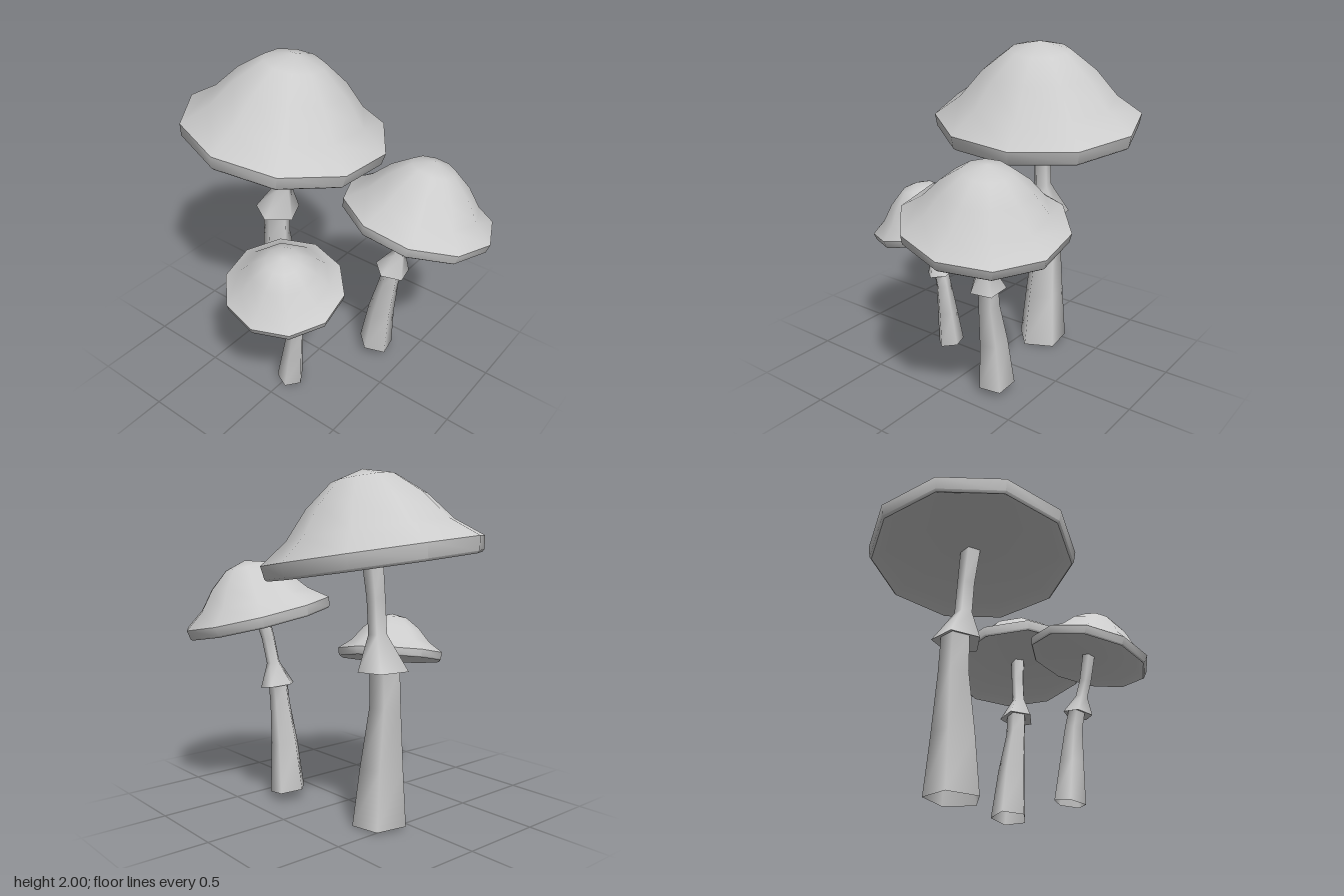
import * as THREE from 'three';
import { toCreasedNormals } from 'three/addons/utils/BufferGeometryUtils.js';

const SIDES = 5;

// Cap section for a rim radius of 1, from the underside centre out to the rim and up to the apex
const CAP_PROFILE = [
  [0, -0.03], [0.84, -0.05], [0.96, -0.14], [0.98, -0.12], [1, 0],
  [0.75, 0.18], [0.54, 0.43], [0.29, 0.63], [0, 0.71],
].map(([r, h]) => new THREE.Vector2(r, h));

// Stem rows: x, y, z, radius; the flared skirt is the fifth row
const MUSHROOMS = [
  {
    name: 'tallMushroom', turn: 0, radius: 0.63,
    cap: [-0.34, 1.56, -0.11], up: [0.12, 1, -0.08],
    stem: [
      [-0.42, 0.01, -0.125, 0.16], [-0.432, 0.35, -0.122, 0.128], [-0.455, 0.7, -0.12, 0.092],
      [-0.45, 0.92, -0.12, 0.088], [-0.44, 0.9, -0.12, 0.148], [-0.39, 1.1, -0.12, 0.055],
      [-0.375, 1.3, -0.12, 0.055], [-0.335, 1.58, -0.12, 0.066],
    ],
  },
  {
    name: 'middleMushroom', turn: -12, radius: 0.463,
    cap: [0.49, 1.165, -0.33], up: [0.15, 1, -0.17],
    stem: [
      [0.285, 0.055, -0.255, 0.112], [0.315, 0.35, -0.255, 0.087], [0.36, 0.6, -0.255, 0.064],
      [0.372, 0.725, -0.26, 0.062], [0.375, 0.71, -0.26, 0.109], [0.41, 0.85, -0.27, 0.042],
      [0.43, 1.0, -0.29, 0.042], [0.475, 1.19, -0.32, 0.048],
    ],
  },
  {
    name: 'smallMushroom', turn: 8, radius: 0.35,
    cap: [0.09, 0.885, 0.435], up: [0.15, 1, 0.2],
    stem: [
      [0.015, 0.015, 0.32, 0.087], [0.045, 0.25, 0.322, 0.067], [0.072, 0.45, 0.325, 0.05],
      [0.075, 0.54, 0.345, 0.048], [0.072, 0.525, 0.354, 0.084], [0.085, 0.63, 0.375, 0.034],
      [0.09, 0.72, 0.4, 0.034], [0.095, 0.9, 0.43, 0.036],
    ],
  },
];

// Open pentagonal tube through leaning rings
function stemGeometry(rows, turn) {
  const first = rows[0], last = rows[rows.length - 1];
  const rise = last[1] - first[1];
  const leanX = (last[0] - first[0]) / rise, leanZ = (last[2] - first[2]) / rise;
  const positions = [], index = [];
  rows.forEach(([x, y, z, r], i) => {
    for (let j = 0; j < SIDES; j++) {
      const a = THREE.MathUtils.degToRad(12 - turn) + (j / SIDES) * Math.PI * 2;
      const dx = r * Math.cos(a), dz = r * Math.sin(a);
      positions.push(x + dx, Math.max(0, y - leanX * dx - leanZ * dz), z + dz);
      if (i < rows.length - 1) {
        const p = i * SIDES + j, q = i * SIDES + (j + 1) % SIDES;
        index.push(p, p + SIDES, q, q, p + SIDES, q + SIDES);
      }
    }
  });
  const geometry = new THREE.BufferGeometry();
  geometry.setAttribute('position', new THREE.Float32BufferAttribute(positions, 3));
  geometry.setIndex(index);
  return toCreasedNormals(geometry, 1.4);
}

export function createModel() {
  const group = new THREE.Group();
  group.name = 'mushroomCluster';
  const grey = new THREE.MeshStandardMaterial({ color: 0xcccccc, side: THREE.DoubleSide });
  grey.name = 'paleGrey';

  for (const m of MUSHROOMS) {
    const mushroom = new THREE.Group();
    mushroom.name = m.name;

    // Stem with its skirt
    const stem = new THREE.Mesh(stemGeometry(m.stem, m.turn), grey);
    stem.name = 'stem';

    // Ten-sided tilted cap with a hollow underside
    const capGeometry = new THREE.LatheGeometry(CAP_PROFILE, 10);
    capGeometry.rotateY(THREE.MathUtils.degToRad(m.turn));
    const cap = new THREE.Mesh(toCreasedNormals(capGeometry, 0.8), grey);
    cap.name = 'cap';
    cap.scale.setScalar(m.radius);
    cap.position.set(...m.cap);
    cap.quaternion.setFromUnitVectors(new THREE.Vector3(0, 1, 0), new THREE.Vector3(...m.up).normalize());

    mushroom.add(stem, cap);
    group.add(mushroom);
  }
  return group;
}
